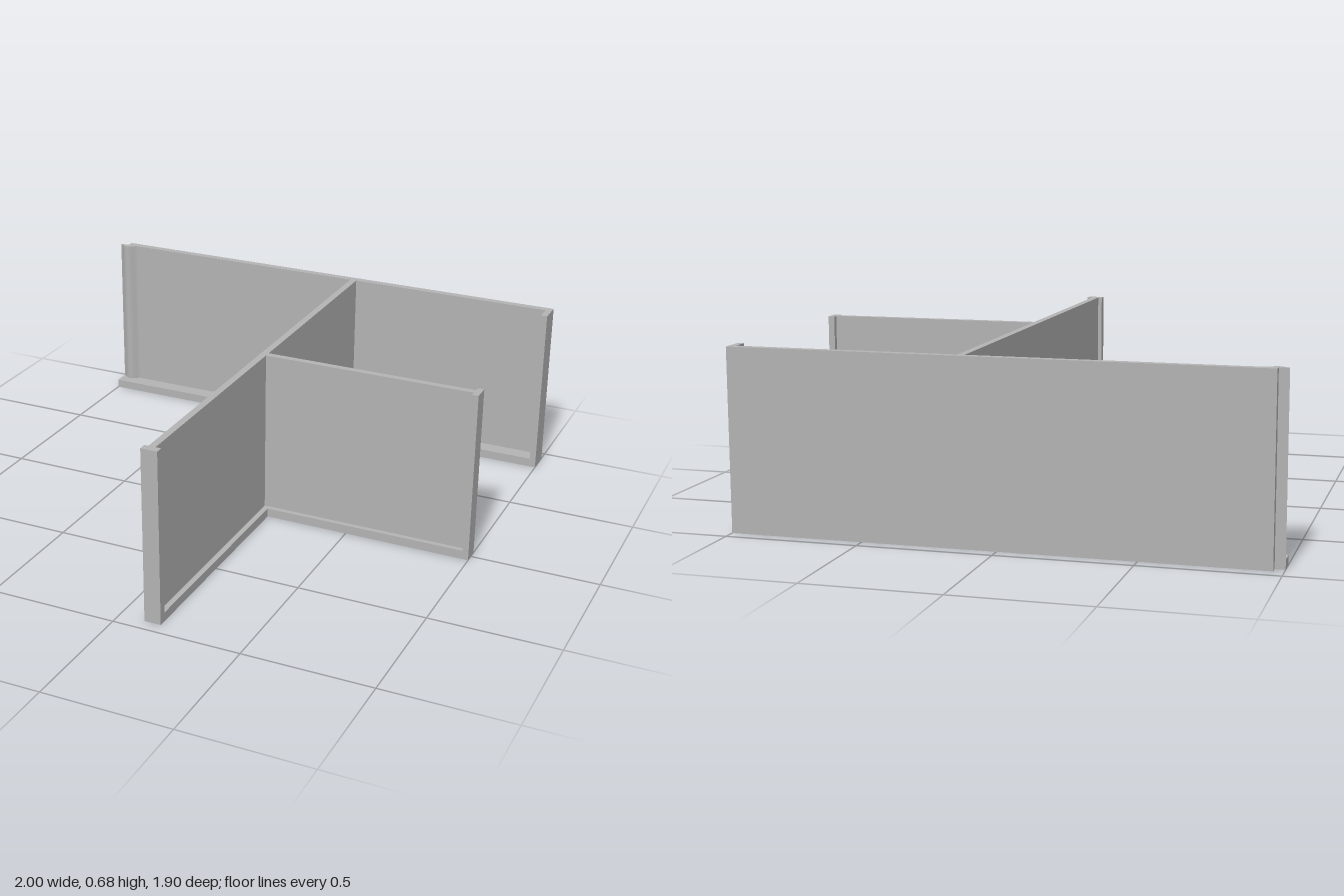
import * as THREE from 'three';
import { toCreasedNormals } from 'three/addons/utils/BufferGeometryUtils.js';

const HEIGHT = 0.68, BASE = 0.035;
const BACK = -0.95, FACE = -0.92, FRONT = -0.855; // depth lines of the back panel

export function createModel() {
  const model = new THREE.Group();
  const grey = new THREE.MeshStandardMaterial({ color: 0xb3b3b3 });
  grey.name = 'plain grey';

  // Raises a floor-plan outline of [x, z] points from y0 to y1
  const raise = (name, plan, y0, y1) => {
    const shape = new THREE.Shape(plan.map(([x, z]) => new THREE.Vector2(x, -z)));
    let geometry = new THREE.ExtrudeGeometry(shape, { depth: y1 - y0, bevelEnabled: false });
    geometry.rotateX(-Math.PI / 2).translate(0, y0, 0);
    geometry = toCreasedNormals(geometry, 0.6);
    const mesh = new THREE.Mesh(geometry, grey);
    mesh.name = name;
    model.add(mesh);
  };

  // S-shaped rounded bead along the left edge of the back panel
  const bead = [];
  for (let i = 0; i <= 24; i++) {
    const t = i / 24;
    bead.push([-0.92 - 0.08 * t, FACE + 0.024 * Math.sin(Math.PI * t) ** 1.3]);
  }

  // Back panel with rebated left edge, bead and right end post
  raise('backPanel', [
    [-0.963, BACK], [1, BACK], [1, FRONT], [0.975, FRONT], [0.975, FACE],
    ...bead, [-0.963, FACE - 0.001],
  ], BASE, HEIGHT);

  // Long divider running forward, with a wider post at its end
  raise('longDivider', [
    [0.117, FACE], [0.144, FACE], [0.144, 0.92], [0.166, 0.92],
    [0.166, 0.95], [0.101, 0.95], [0.101, 0.92], [0.117, 0.92],
  ], BASE, HEIGHT);

  // Short divider branching sideways, with its end post
  raise('shortDivider', [
    [0.144, -0.013], [0.975, -0.013], [0.975, -0.033], [1, -0.033],
    [1, 0.033], [0.975, 0.033], [0.975, 0.013], [0.144, 0.013],
  ], BASE, HEIGHT);

  // Continuous base rail below all the panels
  raise('baseRail', [
    [-0.963, BACK], [1, BACK], [1, FRONT], [0.166, FRONT], [0.166, -0.033],
    [1, -0.033], [1, 0.033], [0.166, 0.033], [0.166, 0.95], [0.101, 0.95],
    [0.101, FRONT], [-1, FRONT], [-1, FACE], [-0.963, FACE],
  ], 0, BASE);

  return model;
}
